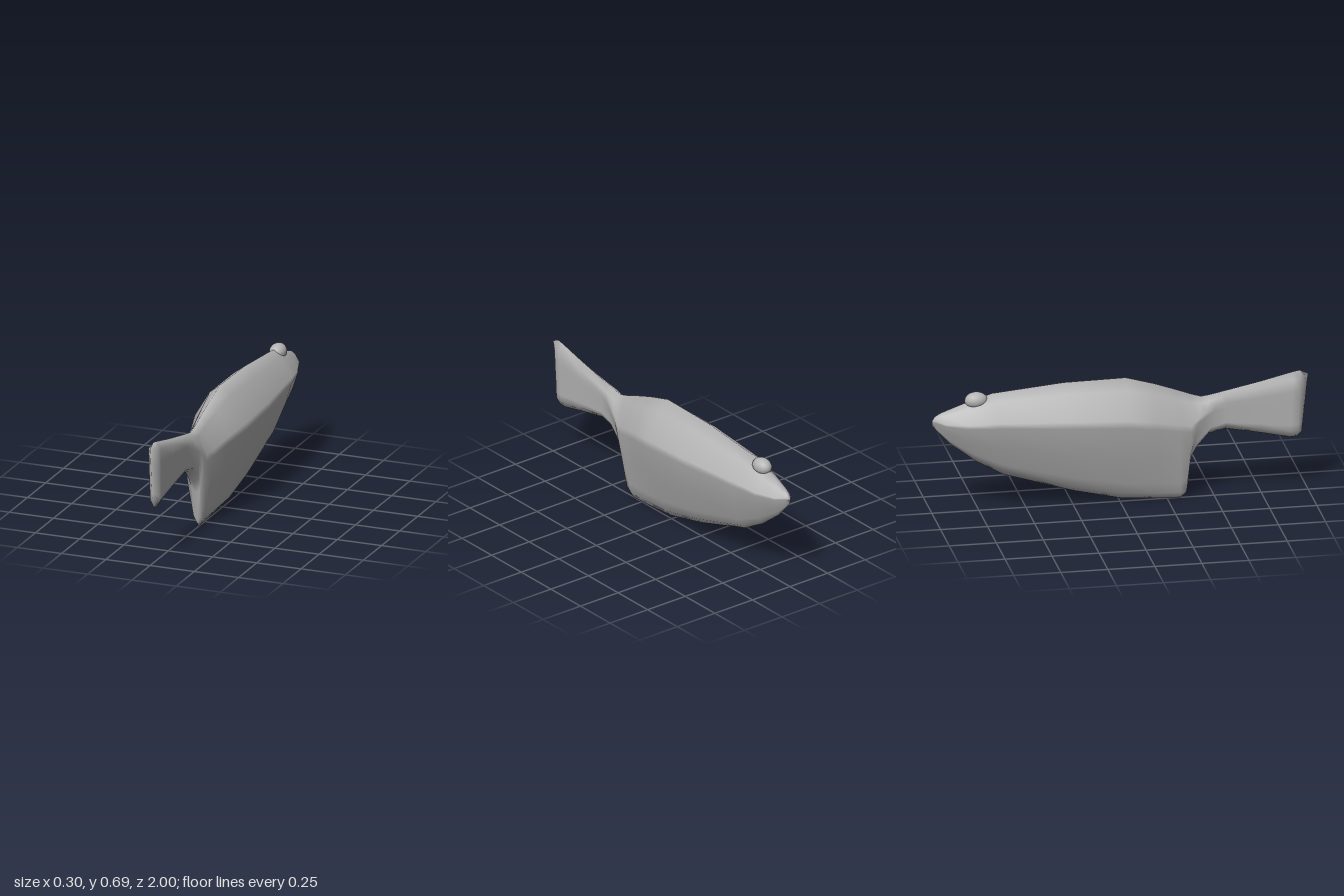
import * as THREE from 'three';
import { mergeVertices } from 'three/addons/utils/BufferGeometryUtils.js';

// Half outline of a cross-section, back to belly: [fraction of height, fraction of half width]
const BODY = [[0, 0], [0.075, 0.42], [0.285, 1], [0.345, 1], [0.6, 0.76], [0.85, 0.4], [0.94, 0.27], [1, 0]];
const TAIL = [[0, 0], [0.1, 1], [0.285, 1], [0.4, 1], [0.6, 0.93], [0.8, 0.9], [0.89, 0.87], [1, 0]];

// Nose to tail: [top z, top y, bottom z, bottom y, half width, blend from body to tail outline]
const SECTIONS = [
  [-1, 0.515, -1, 0.49, 0, 0],
  [-0.985, 0.54, -0.975, 0.46, 0.02, 0],
  [-0.95, 0.56, -0.9, 0.38, 0.05, 0],
  [-0.84, 0.6, -0.77, 0.28, 0.09, 0],
  [-0.68, 0.65, -0.62, 0.195, 0.12, 0],
  [-0.3, 0.685, -0.25, 0.08, 0.147, 0],
  [0.03, 0.69, 0, 0.022, 0.148, 0],
  [0.18, 0.647, 0.2, 0.007, 0.108, 0],
  [0.3, 0.605, 0.32, 0.003, 0.08, 0],
  [0.38, 0.575, 0.353, 0.03, 0.064, 0.05],
  [0.43, 0.56, 0.365, 0.2, 0.058, 0.2],
  [0.47, 0.565, 0.4, 0.27, 0.049, 0.5],
  [0.51, 0.573, 0.47, 0.35, 0.038, 0.8],
  [0.56, 0.583, 0.56, 0.372, 0.03, 1],
  [0.75, 0.623, 0.75, 0.335, 0.028, 1],
  [0.92, 0.664, 0.9, 0.301, 0.028, 1],
  [0.955, 0.67, 0.94, 0.303, 0.027, 1],
  [1, 0.65, 0.966, 0.33, 0, 1],
];

// Closed ring of points: down the left side and up the right
function ring([zt, yt, zb, yb, w, k]) {
  const half = BODY.map(([t, f], i) => {
    const h = THREE.MathUtils.lerp(t, TAIL[i][0], k);
    const x = w * THREE.MathUtils.lerp(f, TAIL[i][1], k);
    return [x, THREE.MathUtils.lerp(yt, yb, h), THREE.MathUtils.lerp(zt, zb, h)];
  });
  const mirrored = half.slice(1, -1).reverse().map(([x, y, z]) => [-x, y, z]);
  return [...half, ...mirrored];
}

function loft(rings) {
  const n = rings[0].length, index = [];
  for (let i = 0; i < rings.length - 1; i++) {
    for (let j = 0; j < n; j++) {
      const a = i * n + j, b = i * n + (j + 1) % n;
      index.push(a, a + n, b, b, a + n, b + n);
    }
  }
  const geometry = new THREE.BufferGeometry();
  geometry.setAttribute('position', new THREE.Float32BufferAttribute(rings.flat(2), 3));
  geometry.setIndex(index);
  const merged = mergeVertices(geometry, 1e-5);
  merged.computeVertexNormals();
  return merged;
}

export function createModel() {
  const group = new THREE.Group();
  group.name = 'fish';
  const grey = new THREE.MeshStandardMaterial({ color: 0xb4b4b4 });
  grey.name = 'grey';

  // Body and tail fin in one smooth skin
  const body = new THREE.Mesh(loft(SECTIONS.map(ring)), grey);
  body.name = 'bodyAndTail';
  group.add(body);

  // Small bump on top of the head
  const bump = new THREE.Mesh(new THREE.SphereGeometry(1, 16, 10), grey);
  bump.name = 'headBump';
  bump.scale.set(0.045, 0.045, 0.062);
  bump.position.set(0, 0.617, -0.765);
  group.add(bump);

  return group;
}
